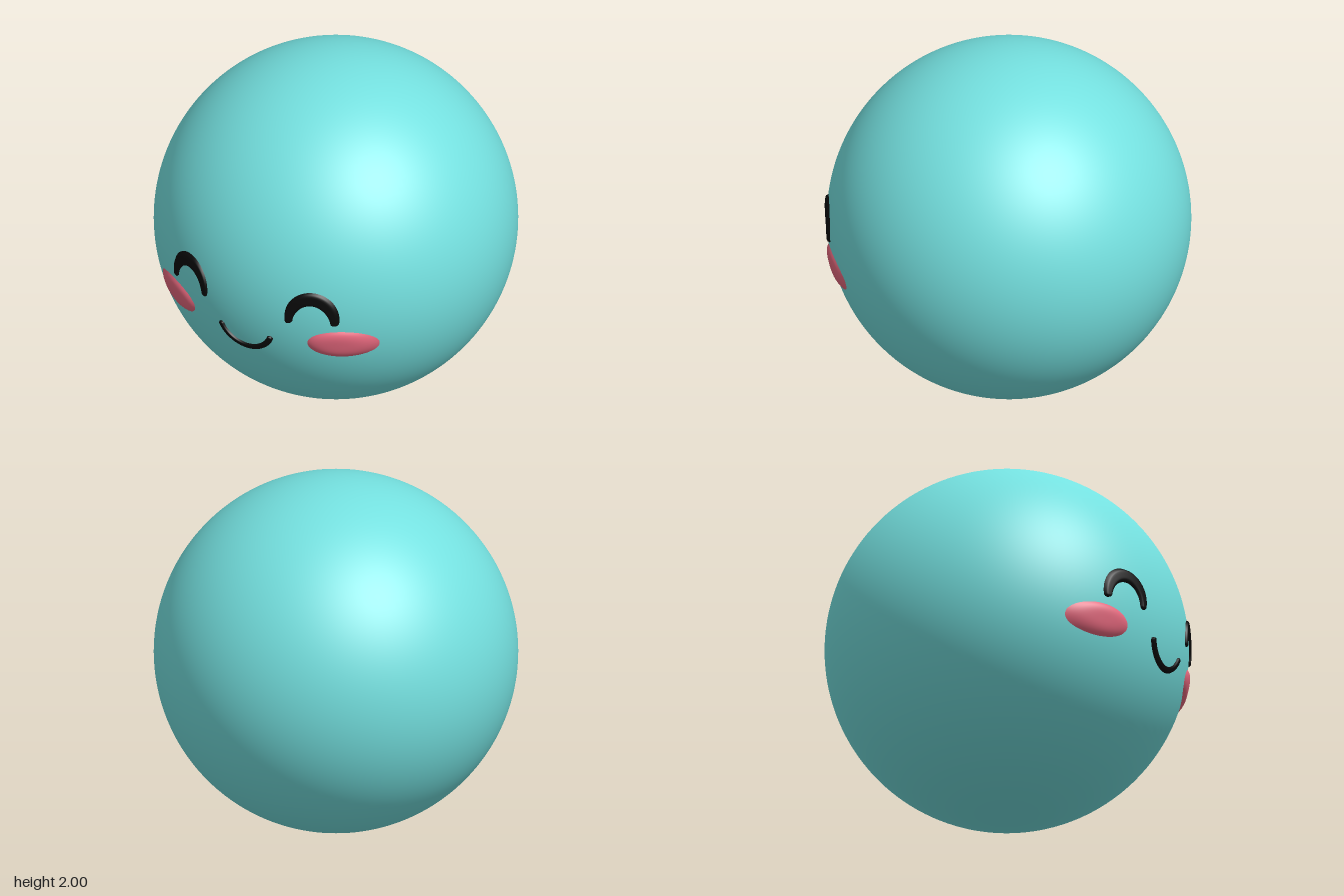
import * as THREE from 'three';

const material = (name, color) => {
  const m = new THREE.MeshStandardMaterial({ color });
  m.name = name;
  return m;
};

// Wraps a flat geometry onto the ball: place(x, y, i) gives the front position and lift
function wrap(geometry, place) {
  const pos = geometry.attributes.position;
  for (let i = 0; i < pos.count; i++) {
    const [x, y, lift] = place(pos.getX(i), pos.getY(i));
    const r = 1 + lift, dy = y - 1;
    pos.setXYZ(i, x, y, Math.sqrt(r * r - x * x - dy * dy));
  }
  geometry.computeVertexNormals();
  return geometry;
}

// Curved brush stroke with round ends; dir = 1 arches up, dir = -1 hangs down
function stroke({ cx, cy, rx, ry, span, dir, endWidth, extraWidth }) {
  const cap = endWidth / ry;
  return wrap(new THREE.PlaneGeometry(2, 2, 96, 10), (u, v) => {
    const a = u * (span + cap);
    const over = Math.min(1, Math.max(0, Math.abs(a) - span) / cap);
    const half = (endWidth + extraWidth * Math.max(0, Math.cos(a))) * Math.sqrt(1 - over * over);
    const lift = 0.016 * (1 - v ** 6) * (1 - over ** 6) - 0.002;
    return [
      cx + rx * Math.sin(a) + v * half * dir * Math.sin(a),
      cy + dir * ry * Math.cos(a) + v * half * Math.cos(a),
      lift,
    ];
  });
}

export function createModel() {
  const group = new THREE.Group();
  const teal = material('teal', 0x74e0df);
  const black = material('black', 0x0a0a0a);
  const pink = material('pink', 0xea6a80);

  const add = (name, geometry, mat) => {
    const mesh = new THREE.Mesh(geometry, mat);
    mesh.name = name;
    group.add(mesh);
  };

  // Round body
  add('body', new THREE.SphereGeometry(1, 128, 80).translate(0, 1, 0), teal);

  // Happy closed eyes and oval cheeks on both sides
  for (const [side, s] of [['left', 1], ['right', -1]]) {
    add(side + 'Eye', stroke({
      cx: s * 0.386, cy: 0.96, rx: 0.118, ry: 0.143, span: Math.PI / 2,
      dir: 1, endWidth: 0.021, extraWidth: 0.021,
    }), black);

    add(side + 'Cheek', wrap(new THREE.RingGeometry(0, 1, 64, 10), (x, y) => [
      s * 0.525 + 0.168 * x,
      0.805 + 0.093 * y,
      0.021 * (1 - (x * x + y * y) ** 2) - 0.001,
    ]), pink);
  }

  // Smile
  add('smile', stroke({
    cx: 0, cy: 0.864, rx: 0.164, ry: 0.164, span: 1.19,
    dir: -1, endWidth: 0.0175, extraWidth: 0,
  }), black);

  return group;
}
